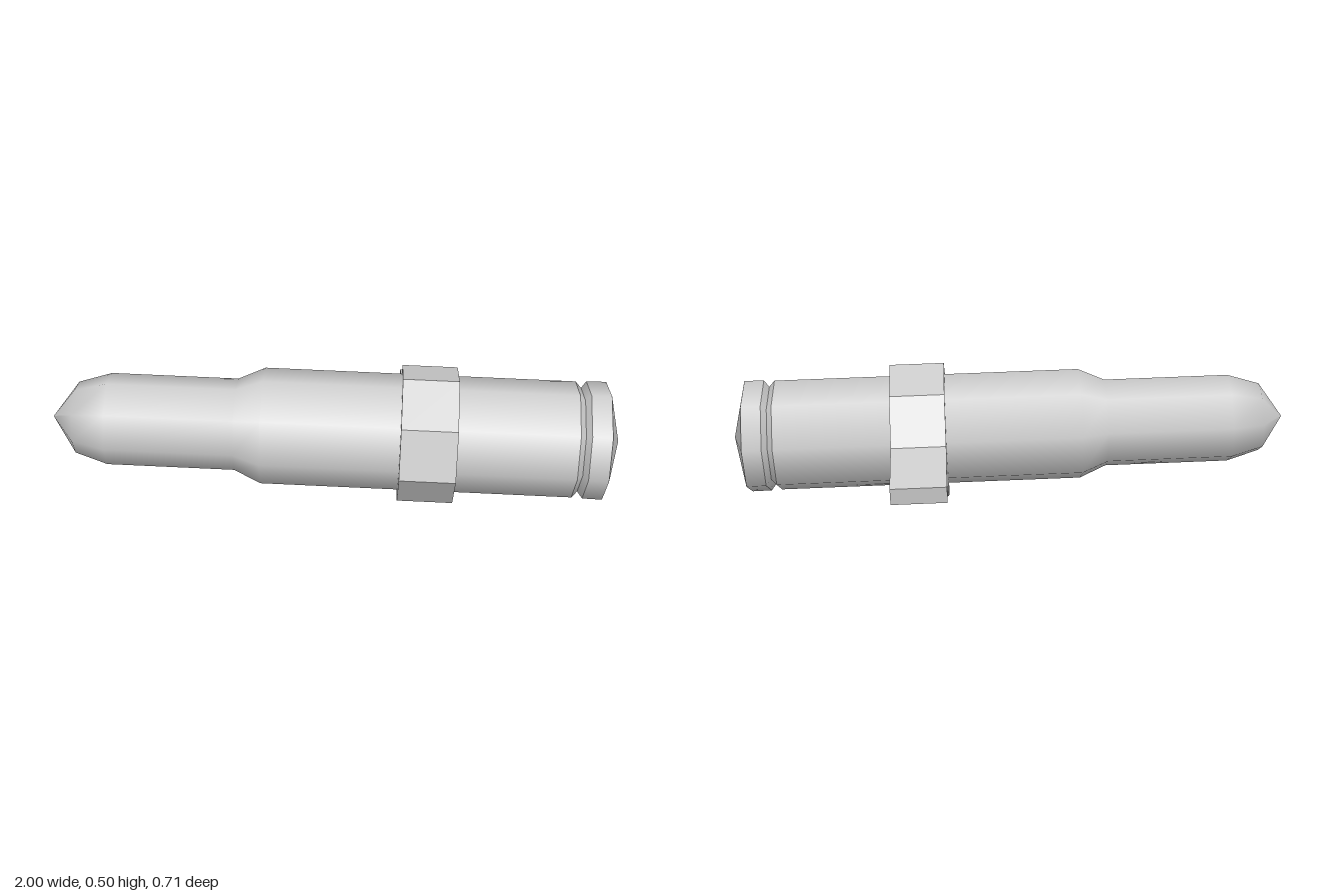
import * as THREE from 'three';

const SIDES = 8;
const ROLL = -1.426; // turns the octagonal section to its resting angle

export function createModel() {
  const model = new THREE.Group();
  model.name = 'cartridge';
  const material = new THREE.MeshStandardMaterial({ color: 0xcccccc });

  // Slightly tilted long axis, tip towards -x
  const axis = new THREE.Group();
  axis.name = 'axis';
  axis.position.set(0, 0.2615, 0.1075);
  axis.rotation.set(0, 0.0175, -0.0265);
  model.add(axis);

  const add = (name, geometry) => {
    const mesh = new THREE.Mesh(geometry, material);
    mesh.name = name;
    axis.add(mesh);
  };

  // Turned section: profile of [distance along the axis, radius]
  const turned = (name, profile) => {
    const points = profile.map(([s, r]) => new THREE.Vector2(r, s));
    add(name, new THREE.LatheGeometry(points, SIDES, ROLL).rotateZ(-Math.PI / 2));
  };

  // Separate sections keep the edges between them sharp
  turned('noseAndCase', [[-1, 0], [-0.915, 0.126], [-0.8, 0.162], [-0.35, 0.162], [-0.255, 0.205], [0.842, 0.205]]);
  turned('grooveFront', [[0.842, 0.205], [0.862, 0.183]]);
  turned('grooveBack', [[0.862, 0.183], [0.88, 0.207]]);
  turned('rim', [[0.88, 0.207], [0.95, 0.208]]);
  turned('baseCap', [[0.95, 0.208], [1, 0]]);

  // Belt link with a tapering tab at the back, outline as [z, y] about the axis
  const outline = [
    [0.038, 0.243], [-0.14, 0.19], [-0.243, 0.035], [-0.452, -0.025],
    [-0.445, -0.087], [-0.227, -0.095], [-0.15, -0.2], [-0.032, -0.248],
    [0.148, -0.194], [0.253, -0.032], [0.196, 0.14],
  ];
  const shape = new THREE.Shape(outline.map(([z, y]) => new THREE.Vector2(-z, y)));
  const belt = new THREE.ExtrudeGeometry(shape, { depth: 0.195, bevelEnabled: false });
  add('beltLink', belt.rotateY(Math.PI / 2).translate(0.229, 0, 0));

  return model;
}
